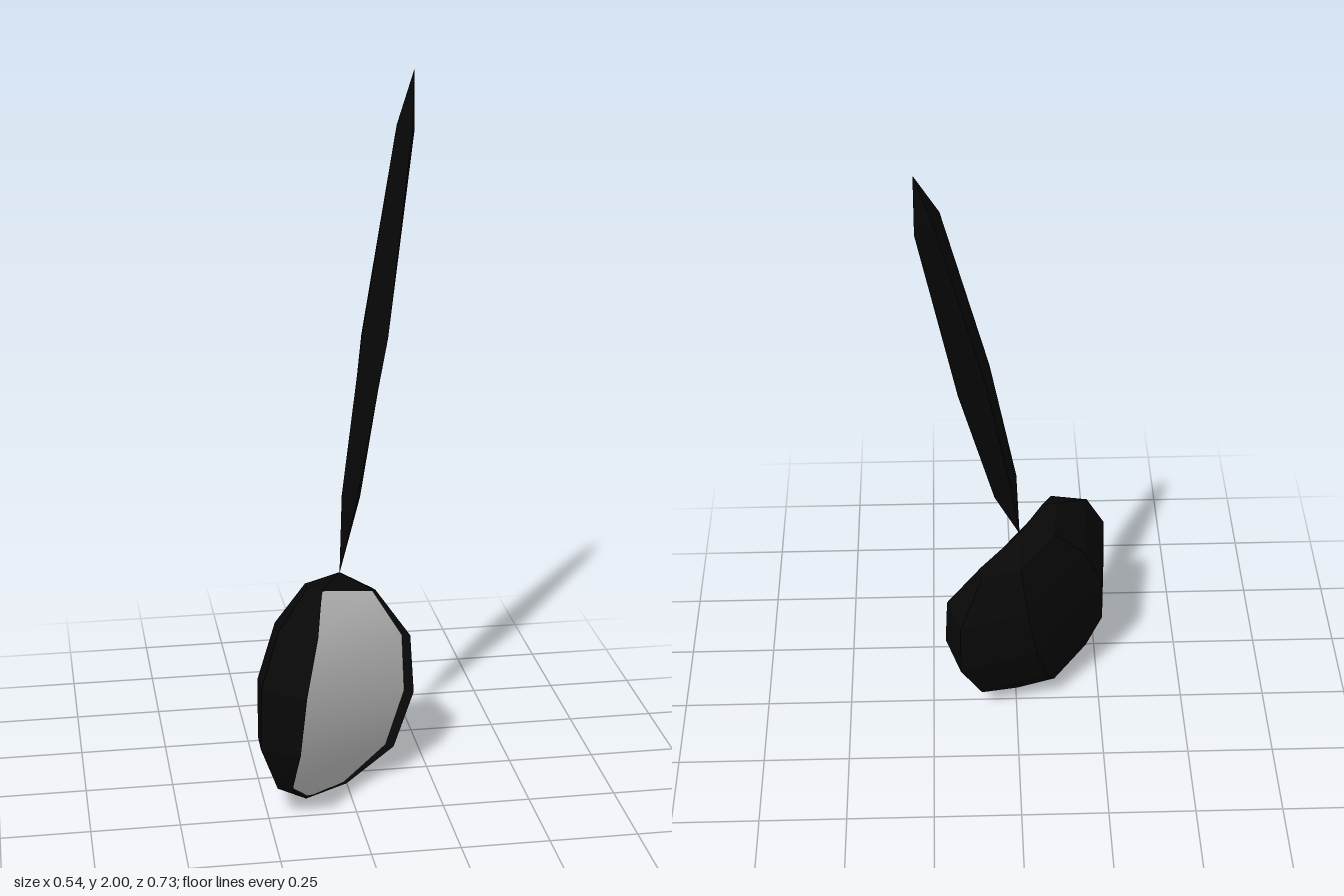
import * as THREE from 'three';

// Skins a stack of closed or open cross-sections, listed from bottom to top.
function loft(sections, closed) {
  const n = sections[0].length, pos = sections.flat(2), index = [];
  for (let i = 0; i < sections.length - 1; i++) {
    for (let j = 0; j < (closed ? n : n - 1); j++) {
      const a = i * n + j, b = i * n + (j + 1) % n;
      index.push(a, b, b + n, a, b + n, a + n);
    }
  }
  const g = new THREE.BufferGeometry();
  g.setAttribute('position', new THREE.Float32BufferAttribute(pos, 3));
  g.setIndex(index);
  g.computeVertexNormals();
  return g;
}

export function createModel() {
  const model = new THREE.Group();
  model.name = 'handMirror';
  const black = new THREE.MeshStandardMaterial({ color: 0x080808, flatShading: true });
  const grey = new THREE.MeshStandardMaterial({ color: 0xcccccc, side: THREE.DoubleSide });

  const add = (name, geometry, material) => {
    const mesh = new THREE.Mesh(geometry, material);
    mesh.name = name;
    model.add(mesh);
  };

  // Round head: a twelve-sided outline with a raised lip and a rounded back
  const R = 0.328;
  const profile = [
    [-0.255, 0.110], [0.255, 0.110], [0.272, 0.137], [0.33, 0.022],
    [0.15, -0.123], [-0.15, -0.123], [-0.33, 0.022], [-0.272, 0.137],
  ];
  const bulge = [0, 0.3, 0.87, 1, 0.87, 0.3, 0]; // front fullness per station
  const stations = bulge.map((front, i) => {
    const phi = Math.PI * (1 - i / 6), w = Math.sin(phi);
    return { y: R * Math.cos(phi), w, front };
  });
  add('head', loft(stations.map(({ y, w, front }) =>
    profile.map(([x, z]) => [x * w, y, z * (z > 0.05 ? front : w)])), true), black);

  // Curved glass: stops short of the handle with a straight edge
  const glass = stations.slice(1, 6).map(({ y, w, front }) =>
    [-0.255, 0.255].map((x) => [x * w, y * 0.985, 0.110 * front + 0.004]));
  glass.unshift([[-0.015, -0.316, 0.012], [0.015, -0.316, 0.012]]);
  add('glass', loft(glass, false), grey);

  // Handle: diamond-section spindle, pointed at both ends
  const rings = [[0.325, 0, 0], [0.547, 0.047, 0.023], [1.005, 0.064, 0.046],
    [1.6, 0.047, 0.024], [1.765, 0, 0]];
  add('handle', loft(rings.map(([y, w, d]) =>
    [[-w, y, 0], [0, y, d], [w, y, 0], [0, y, -d]]), true), black);

  // Turned toward the front corner, leaning sideways and slightly back
  model.rotation.set(-0.045, Math.PI / 4, -0.316, 'YZX');
  model.position.set(-0.071, 0.325, 0.082);
  const root = new THREE.Group();
  root.add(model);
  return root;
}
